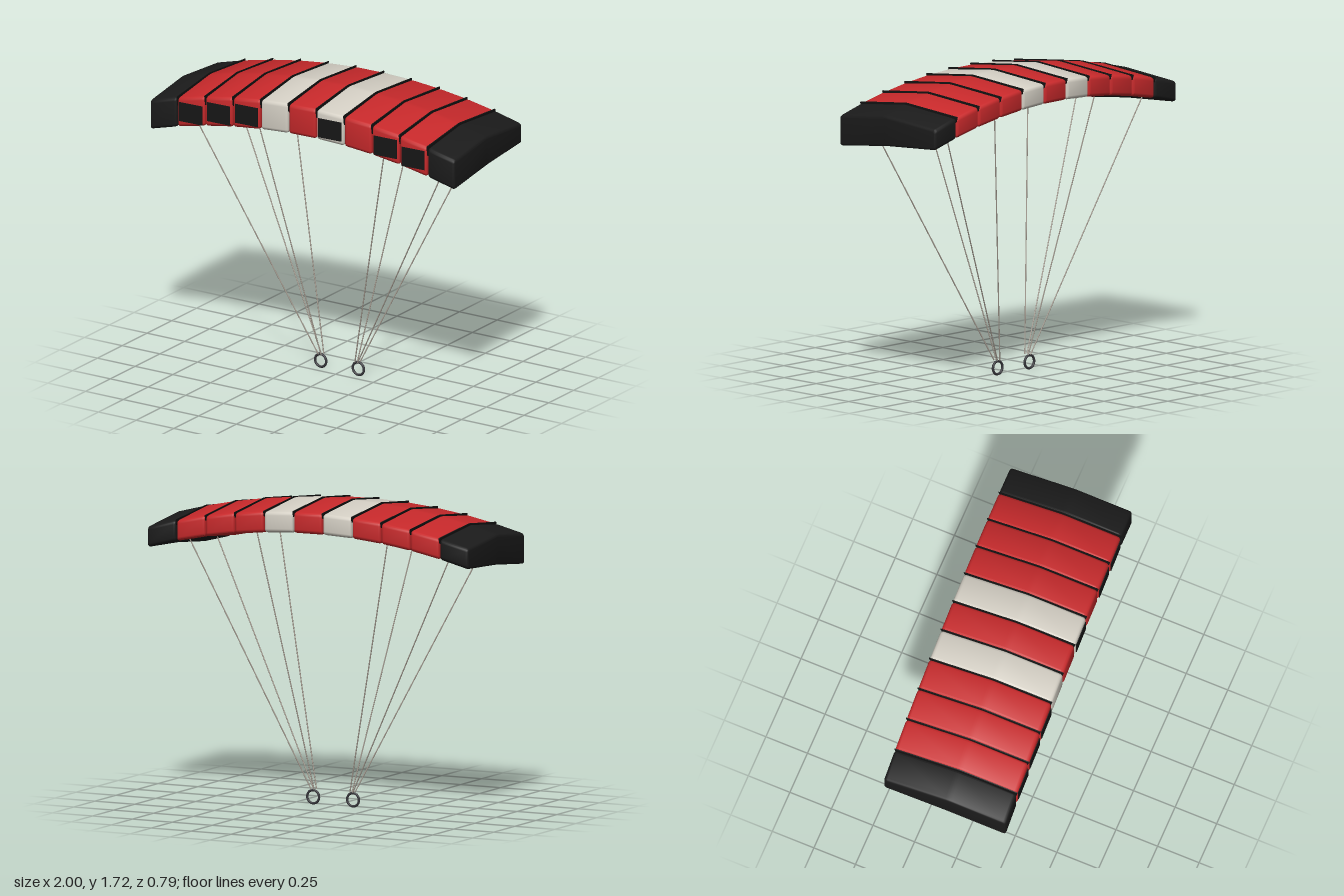
import * as THREE from 'three';
import { toCreasedNormals } from 'three/addons/utils/BufferGeometryUtils.js';

const mat = (name, color) => {
  const m = new THREE.MeshStandardMaterial({ color });
  m.name = name;
  return m;
};

// Polygon with softened corners, points given as [z, y]
function softShape(pts, r) {
  const s = new THREE.Shape();
  const v = pts.map(p => new THREE.Vector2(...p));
  v.forEach((p, i) => {
    const prev = v[(i + v.length - 1) % v.length], next = v[(i + 1) % v.length];
    const a = p.clone().add(prev.clone().sub(p).setLength(r));
    const b = p.clone().add(next.clone().sub(p).setLength(r));
    if (i) s.lineTo(a.x, a.y); else s.moveTo(a.x, a.y);
    s.quadraticCurveTo(p.x, p.y, b.x, b.y);
  });
  s.closePath();
  return s;
}

// Extrude a side profile across x, centred, with an optional rounded edge
function acrossX(shape, width, bevel) {
  const depth = width - 2 * bevel;
  const g = new THREE.ExtrudeGeometry(shape, {
    depth, curveSegments: 3, bevelEnabled: bevel > 0, bevelSize: bevel,
    bevelThickness: bevel, bevelOffset: -bevel, bevelSegments: 3,
  });
  g.translate(0, 0, -depth / 2).rotateY(-Math.PI / 2);
  return toCreasedNormals(g, 0.7);
}

export function createModel() {
  const red = mat('red fabric', 0xc8292b);
  const white = mat('pale fabric', 0xd5d0c5);
  const black = mat('black fabric', 0x1b1b1b);
  const inletBlack = mat('inlet black', 0x161616);
  const seam = mat('seam black', 0x121212);
  const cord = mat('pale cord', 0xa89f94);
  const metal = mat('ring grey', 0x38383d);
  const model = new THREE.Group();
  model.name = 'parachute';

  // Canopy: eleven upright cells, each slanted to follow a shallow arch
  const canopy = new THREE.Group();
  canopy.name = 'canopy';
  canopy.rotation.y = 0.036;
  canopy.position.z = -0.005;
  model.add(canopy);
  const R = 3.5, pitch = 0.18;
  const archY = x => 1.51 - x * x / (2 * R);
  const addSlanted = (geo, material, name, x) => {
    const shear = new THREE.Matrix4().makeShear(-x / R, 0, 0, 0, 0, 0);
    const mesh = new THREE.Mesh(geo.clone().applyMatrix4(shear), material);
    mesh.name = name;
    mesh.position.set(x, archY(x), 0);
    canopy.add(mesh);
  };
  const cellGeo = acrossX(softShape([
    [0.362, -0.005], [0.362, 0.168], [0.02, 0.209], [-0.362, 0.175], [-0.362, 0.06], [0, 0.037],
  ], 0.02), 0.174, 0.014);
  const windowed = [-4, -3, -2, 1, 3, 4];
  for (let i = -5; i <= 5; i++) {
    const fabric = Math.abs(i) === 5 ? black : Math.abs(i) === 1 ? white : red;
    addSlanted(cellGeo, fabric, 'canopyCell', i * pitch);

    // Dark air inlet on the front of some cells
    if (windowed.includes(i)) {
      const inlet = new THREE.Mesh(new THREE.BoxGeometry(0.148, 0.111, 0.008), inletBlack);
      inlet.name = 'airInlet';
      inlet.position.set(i * pitch, archY(i * pitch) + 0.073, 0.362);
      canopy.add(inlet);
    }
  }

  // Thin seam ribs standing slightly proud of the top
  const ribGeo = acrossX(softShape([
    [0.356, 0.12], [0.366, 0.177], [0.02, 0.214], [-0.366, 0.182], [-0.356, 0.15], [0.02, 0.17],
  ], 0.004), 0.005, 0);
  for (let i = -5; i < 5; i++) addSlanted(ribGeo, seam, 'seamRib', (i + 0.5) * pitch);

  // Hand rings
  for (const x of [-0.128, 0.122]) {
    const ring = new THREE.Mesh(new THREE.TorusGeometry(0.037, 0.007, 8, 32), metal);
    ring.name = 'handRing';
    ring.position.set(x, 0.047, -0.045);
    model.add(ring);
  }

  // Suspension lines: canopy end points, each running to the ring on its side
  const tops = [
    [-0.79, 1.455, 0.235], [-0.835, 1.48, -0.23], [-0.385, 1.53, 0.22], [-0.45, 1.55, -0.24],
    [0.46, 1.52, 0.19], [0.365, 1.56, -0.26], [0.855, 1.45, 0.185], [0.775, 1.49, -0.285],
  ];
  for (const t of tops) {
    const side = Math.sign(t[0]);
    const top = new THREE.Vector3(...t);
    const end = new THREE.Vector3(side * (Math.abs(t[0]) > 0.6 ? 0.13 : 0.112), 0.088, t[2] > 0 ? -0.025 : -0.052);
    const line = new THREE.Mesh(new THREE.TubeGeometry(new THREE.LineCurve3(end, top), 1, 0.0035, 6), cord);
    line.name = 'suspensionLine';
    model.add(line);
  }
  return model;
}
